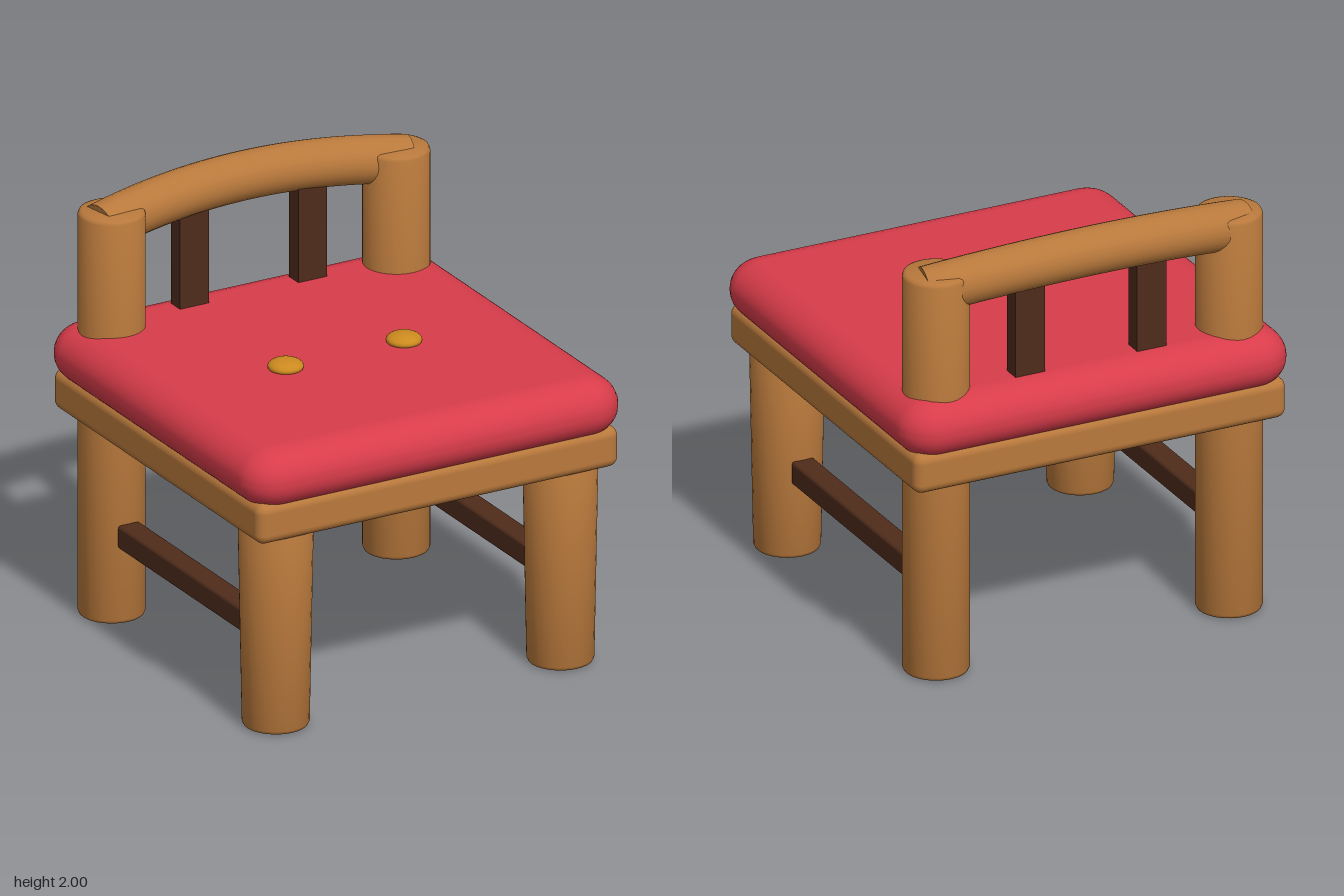
import * as THREE from 'three';
import { RoundedBoxGeometry } from 'three/addons/geometries/RoundedBoxGeometry.js';
import { toCreasedNormals } from 'three/addons/utils/BufferGeometryUtils.js';

const paint = (color) => new THREE.MeshStandardMaterial({ color });

// Upright round post with softly bevelled ends
function postGeometry(bottomRadius, topRadius, height) {
  const b = 0.02;
  const profile = [
    [0, 0], [bottomRadius - b, 0], [bottomRadius - b * 0.3, b * 0.3], [bottomRadius, b],
    [topRadius, height - b], [topRadius - b * 0.3, height - b * 0.3], [topRadius - b, height], [0, height],
  ].map(([x, y]) => new THREE.Vector2(x, y));
  return toCreasedNormals(new THREE.LatheGeometry(profile, 32), 0.9);
}

export function createModel() {
  const chair = new THREE.Group();
  chair.name = 'chair';
  const wood = paint(0xb9793c);
  const darkWood = paint(0x4f2c1b);
  const red = paint(0xd83c4a);
  const gold = paint(0xcc8a1f);

  function add(name, geometry, material, x, y, z) {
    const mesh = new THREE.Mesh(geometry, material);
    mesh.name = name;
    mesh.position.set(x, y, z);
    chair.add(mesh);
    return mesh;
  }

  // Seat frame and padded cushion
  add('seatFrame', new RoundedBoxGeometry(1.82, 0.19, 1.82, 4, 0.045), wood, 0, 1.035, 0);
  const cushion = add('cushion', new RoundedBoxGeometry(1.89, 0.33, 1.89, 4, 0.16), red, 0, 1.22, 0);
  cushion.scale.y = 0.28 / 0.33;

  // Parts repeated on both sides
  const frontLeg = postGeometry(0.149, 0.167, 1.0);
  const backPost = postGeometry(0.149, 0.149, 1.91);
  const stretcher = new RoundedBoxGeometry(0.11, 0.11, 1.15, 2, 0.015);
  const slat = new THREE.BoxGeometry(0.145, 0.65, 0.08);
  const button = new THREE.SphereGeometry(0.08, 24, 16);
  for (const [side, s] of [['left', 1], ['right', -1]]) {
    add(side + 'FrontLeg', frontLeg, wood, s * 0.717, 0, 0.717);
    add(side + 'BackPost', backPost, wood, s * 0.717, 0, -0.717);
    add(side + 'Stretcher', stretcher, darkWood, s * 0.717, 0.42, 0);
    add(side + 'BackSlat', slat, darkWood, s * 0.298, 1.525, -0.76);
    add(side + 'Button', button, gold, s * 0.298, 1.37, 0.077).scale.y = 0.42;
  }

  // Bowed top rail with flat ends
  const bow = new THREE.QuadraticBezierCurve3(
    new THREE.Vector3(-0.77, 1.83, -0.725),
    new THREE.Vector3(0, 1.952, -0.867),
    new THREE.Vector3(0.77, 1.83, -0.725),
  );
  add('topRail', new THREE.TubeGeometry(bow, 32, 0.109, 24), wood, 0, 0, 0);
  for (const t of [0, 1]) {
    const end = bow.getPoint(t);
    const outward = bow.getTangent(t).multiplyScalar(t ? 1 : -1);
    const cap = add('topRailEnd', new THREE.CircleGeometry(0.109, 24), wood, end.x, end.y, end.z);
    cap.quaternion.setFromUnitVectors(new THREE.Vector3(0, 0, 1), outward);
  }
  return chair;
}
